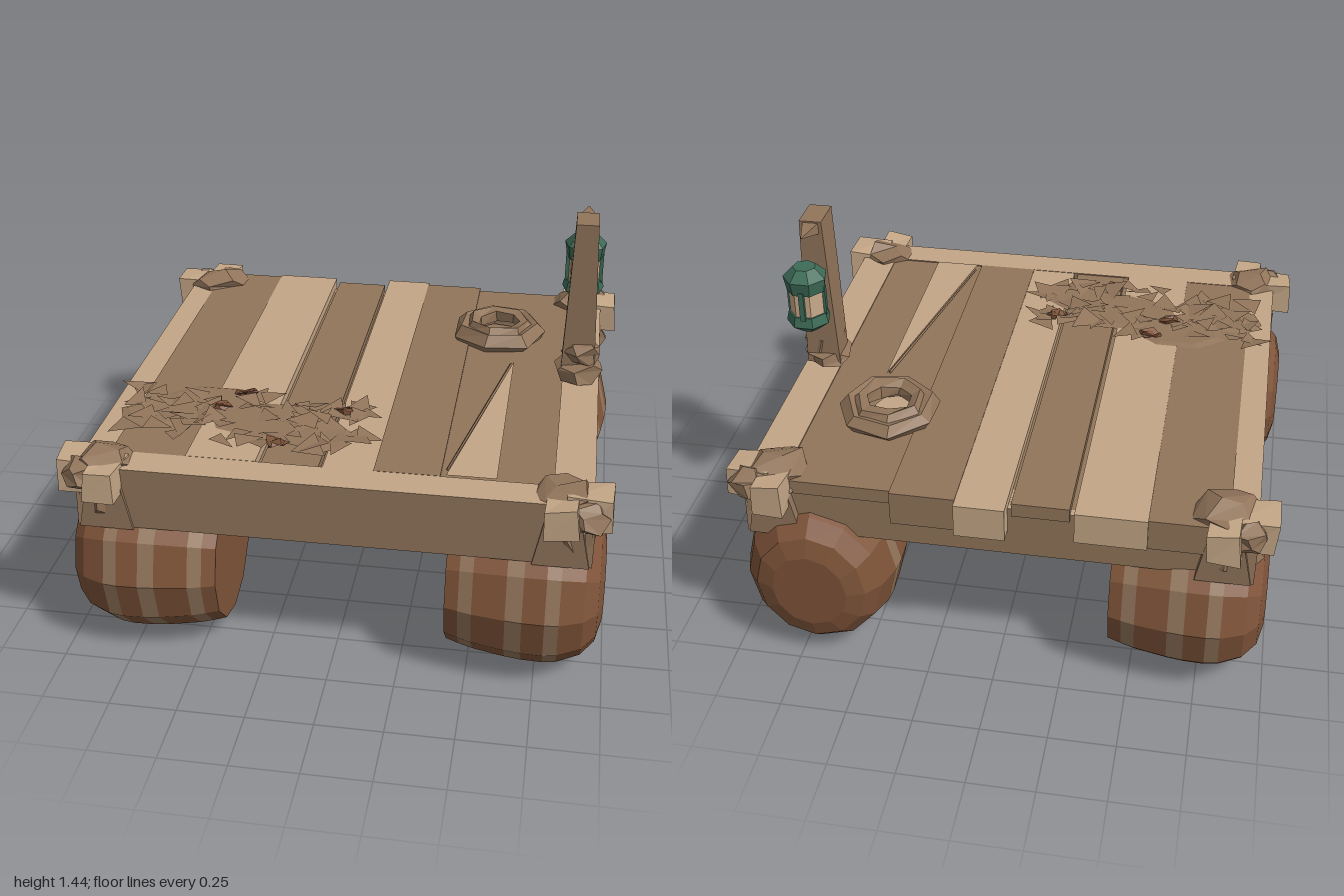
import * as THREE from 'three';
import { mergeVertices } from 'three/addons/utils/BufferGeometryUtils.js';

const mat = (name, color, side = THREE.FrontSide) => {
  const m = new THREE.MeshStandardMaterial({ color, flatShading: true, side });
  m.name = name;
  return m;
};

function seeded(seed) {
  let s = seed;
  return () => ((s = (s * 16807) % 2147483647) / 2147483647);
}

export function createModel() {
  const light = mat('pale wood', 0xc4a686);
  const mid = mat('brown wood', 0x92755b);
  const loose = mat('frayed rope', 0x92755b, THREE.DoubleSide);
  const red = mat('barrel wood', 0x7f5439);
  const green = mat('green metal', 0x3d6b57);
  const glass = mat('lantern glass', 0xc8aa8a);

  const root = new THREE.Group();
  root.name = 'barrelRaft';

  const add = (name, geo, material, x, y, z, parent = root) => {
    const m = new THREE.Mesh(geo, material);
    m.name = name;
    m.position.set(x, y, z);
    parent.add(m);
    return m;
  };
  // box given by its minimum and maximum corners
  const slab = (name, a, b, material, parent = root) =>
    add(name, new THREE.BoxGeometry(b[0] - a[0], b[1] - a[1], b[2] - a[2]), material,
      (a[0] + b[0]) / 2, (a[1] + b[1]) / 2, (a[2] + b[2]) / 2, parent);
  // box whose top has another width and depth than its foot
  const tapered = (w0, d0, w1, d1, h) => {
    const g = new THREE.BoxGeometry(1, h, 1), p = g.attributes.position;
    for (let i = 0; i < p.count; i++) {
      const top = p.getY(i) > 0;
      p.setXYZ(i, p.getX(i) * (top ? w1 : w0), p.getY(i), p.getZ(i) * (top ? d1 : d0));
    }
    g.computeVertexNormals();
    return g;
  };
  // move shared vertices a little so that the surface looks hewn
  const rough = (geo, amount, seed) => {
    geo.deleteAttribute('uv');
    geo.deleteAttribute('normal');
    const g = mergeVertices(geo, 1e-3), p = g.attributes.position, rnd = seeded(seed);
    const j = () => (rnd() - 0.5) * 2 * amount;
    for (let i = 0; i < p.count; i++) p.setXYZ(i, p.getX(i) + j(), p.getY(i) + j(), p.getZ(i) + j());
    g.computeVertexNormals();
    return g;
  };
  const lump = (name, w, h, d, x, y, z, seed, material, parent = root) =>
    add(name, rough(new THREE.DodecahedronGeometry(0.5, 0).scale(w, h, d), 0.014, seed), material, x, y, z, parent);

  // barrels: stacked rings along the axis, inner flat end first
  const rings = [[-0.28, 0.275], [-0.23, 0.29], [-0.18, 0.303], [-0.06, 0.322], [0.0, 0.328],
    [0.08, 0.33], [0.13, 0.324], [0.215, 0.29], [0.265, 0.235], [0.285, 0.16]];
  const hoops = [1, 3, 5];
  const barrel = (x, z) => {
    const g = new THREE.Group();
    g.name = 'barrel';
    for (let i = 0; i < rings.length - 1; i++) {
      const [y0, r0] = rings[i], [y1, r1] = rings[i + 1];
      const hoop = hoops.includes(i);
      add(hoop ? 'barrelHoop' : 'barrelStaves', new THREE.CylinderGeometry(r1, r0, y1 - y0, 12),
        hoop ? mid : red, 0, (y0 + y1) / 2, 0, g);
    }
    g.position.set(x, 0.328, z);
    root.add(g);
    return g;
  };
  for (const [sx, sz] of [[-1, 1], [1, 1], [-1, -1]])
    barrel(sx * 0.7, sz * 0.665).rotation.z = -sx * Math.PI / 2;
  // the back left barrel lies along the other axis
  const turned = barrel(0.69, -0.66);
  turned.rotation.x = -Math.PI / 2;
  turned.scale.set(0.89, 1.16, 1);

  // deck planks, painted in bands: left, right, underside, back end, colour
  const bands = [
    [-0.93, -0.83, 0.65, -0.88, light], [-0.83, -0.55, 0.65, -0.92, mid], [-0.55, -0.29, 0.65, -0.93, light],
    [-0.27, -0.06, 0.715, -0.9, mid], [-0.045, 0.14, 0.64, -0.95, light], [0.14, 0.38, 0.64, -0.92, mid],
    [0.38, 0.78, 0.715, -0.9, mid],
  ];
  bands.forEach(([x0, x1, y, back, m], i) =>
    slab('deckPlank', [x0, y, back], [x1, 0.77 + (i % 3) * 0.003, 0.78], [m, m, m, mid, m, m]));
  slab('plankGap', [-0.3, 0.71, -0.86], [-0.03, 0.74, 0.78], mid);
  const wedge = new THREE.Shape([[0.4, -0.775], [0.58, -0.775], [0.58, 0.17]].map(([x, y]) => new THREE.Vector2(x, y)));
  add('wornPatch', new THREE.ShapeGeometry(wedge).rotateX(-Math.PI / 2), light, 0, 0.779, 0);

  // frame beams, pale on top
  const topped = [mid, mid, light, mid, mid, mid];
  slab('frontBeam', [-0.9, 0.535, 0.78], [0.9, 0.775, 0.91], topped);
  slab('backBeam', [-0.9, 0.535, -0.89], [0.9, 0.74, -0.78], topped);
  slab('leftBeam', [0.78, 0.535, -0.9], [0.925, 0.775, 0.9], topped);
  slab('rightBeam', [-0.92, 0.535, -0.86], [-0.79, 0.745, 0.9], topped);

  // rope lashings and beam ends at the corners
  let seed = 11;
  for (const sx of [-1, 1]) for (const sz of [-1, 1]) {
    const g = new THREE.Group();
    g.name = 'cornerLashing';
    root.add(g);
    add('beamEndAcross', rough(new THREE.BoxGeometry(0.16, 0.12, 0.14), 0.01, seed++), light, sx * 0.915, 0.735, sz * 0.835, g);
    add('beamEndAlong', rough(new THREE.BoxGeometry(0.12, 0.12, 0.16), 0.01, seed++), light, sx * 0.815, 0.735, sz * 0.905, g);
    lump('knot', 0.26, 0.13, 0.24, sx * 0.83, 0.76, sz * 0.83, seed++, mid, g);
    lump('knotSide', 0.15, 0.13, 0.14, sx * 0.9, 0.74, sz * 0.9, seed++, mid, g);
    lump('lowerWrap', 0.17, 0.26, 0.17, sx * 0.83, 0.645, sz * 0.85, seed++, mid, g);
    lump('lowerWrapSide', 0.13, 0.16, 0.16, sx * 0.89, 0.61, sz * 0.82, seed++, mid, g);
    add('wrapBand', tapered(0.2, 0.04, 0.1, 0.05, 0.25), mid, sx * 0.82, 0.655, sz * 0.9, g);
    add('wrapBandSide', tapered(0.04, 0.16, 0.05, 0.1, 0.25), mid, sx * 0.91, 0.655, sz * 0.83, g);
  }

  // coiled rope
  const coil = new THREE.Group();
  coil.name = 'ropeCoil';
  root.add(coil);
  const ring = (r, tube, y, s) => {
    const geo = new THREE.TorusGeometry(r, tube, 5, 7).rotateX(-Math.PI / 2);
    add('coilTurn', rough(geo, 0.008, s), mid, 0.5, y, -0.43, coil);
  };
  ring(0.155, 0.043, 0.8, 5);
  ring(0.115, 0.036, 0.822, 9);
  add('coilCentre', new THREE.CylinderGeometry(0.075, 0.075, 0.006, 8), light, 0.49, 0.783, -0.4, coil);
  const line = add('ropeEnd', new THREE.CylinderGeometry(0.004, 0.006, 0.9, 4), mid, 0.485, 0.776, 0.29);
  line.rotation.set(Math.PI / 2, 0, 0.19);

  // torn netting: ragged three-cornered scraps over thin sheets
  const rnd = seeded(77);
  const scraps = [];
  for (let i = 0; i < 70; i++) {
    const u = rnd(), x = -0.85 + u * 0.92, z = 0.25 + 0.38 * rnd() + 0.08 * u, turn = rnd() * 6.28;
    for (let k = 0; k < 3; k++) {
      const a = turn - k * 2.1, r = 0.03 + 0.06 * rnd();
      scraps.push(x + r * Math.cos(a), 0.779 + 0.05 * rnd() * rnd(), z + r * Math.sin(a));
    }
  }
  const net = new THREE.BufferGeometry();
  net.setAttribute('position', new THREE.Float32BufferAttribute(scraps, 3));
  net.computeVertexNormals();
  add('tornNetting', net, loose, 0, 0, 0);
  for (const [x, z, w] of [[-0.55, 0.34, 0.4], [-0.3, 0.47, 0.5], [-0.13, 0.55, 0.35], [-0.72, 0.48, 0.35]])
    add('netSheet', new THREE.CylinderGeometry(w * 0.4, w * 0.5, 0.008, 7).scale(1, 1, 0.6), mid, x, 0.779, z);
  for (const [x, z] of [[-0.5, 0.41], [-0.24, 0.66], [-0.43, 0.29], [-0.02, 0.38]])
    lump('netScrap', 0.09, 0.035, 0.04, x, 0.79, z, seed++, red);

  // lamp post with bound foot and pointed hook
  const post = new THREE.Group();
  post.name = 'lampPost';
  root.add(post);
  add('postShaft', tapered(0.135, 0.115, 0.086, 0.14, 0.64), mid, 0.838, 1.12, -0.103, post);
  lump('footKnot', 0.15, 0.13, 0.18, 0.845, 0.885, -0.09, 41, mid, post);
  lump('footWrap', 0.19, 0.1, 0.23, 0.84, 0.815, -0.09, 43, mid, post);
  const hook = add('postHook', tapered(0.07, 0.05, 0.004, 0.004, 0.13), mid, 0.838, 1.418, -0.22, post);
  hook.rotation.x = -Math.PI / 2 + 0.12;

  // hanging lantern
  const lamp = new THREE.Group();
  lamp.name = 'lantern';
  lamp.position.set(0.837, 0, -0.285);
  root.add(lamp);
  const disc = (name, rt, rb, y0, y1, m) => add(name, new THREE.CylinderGeometry(rt, rb, y1 - y0, 7), m, 0, (y0 + y1) / 2, 0, lamp);
  disc('lanternCap', 0.045, 0.085, 1.27, 1.31, green);
  disc('lanternTop', 0.085, 0.075, 1.215, 1.27, green);
  disc('lanternGlass', 0.068, 0.068, 1.115, 1.215, glass);
  disc('lanternBase', 0.075, 0.085, 1.08, 1.12, green);
  disc('lanternFoot', 0.085, 0.035, 1.04, 1.08, green);
  for (let i = 0; i < 4; i++) {
    const a = i * Math.PI / 2;
    add('lanternBar', new THREE.BoxGeometry(0.02, 0.12, 0.02), green, 0.065 * Math.cos(a), 1.17, 0.065 * Math.sin(a), lamp);
  }
  return root;
}
